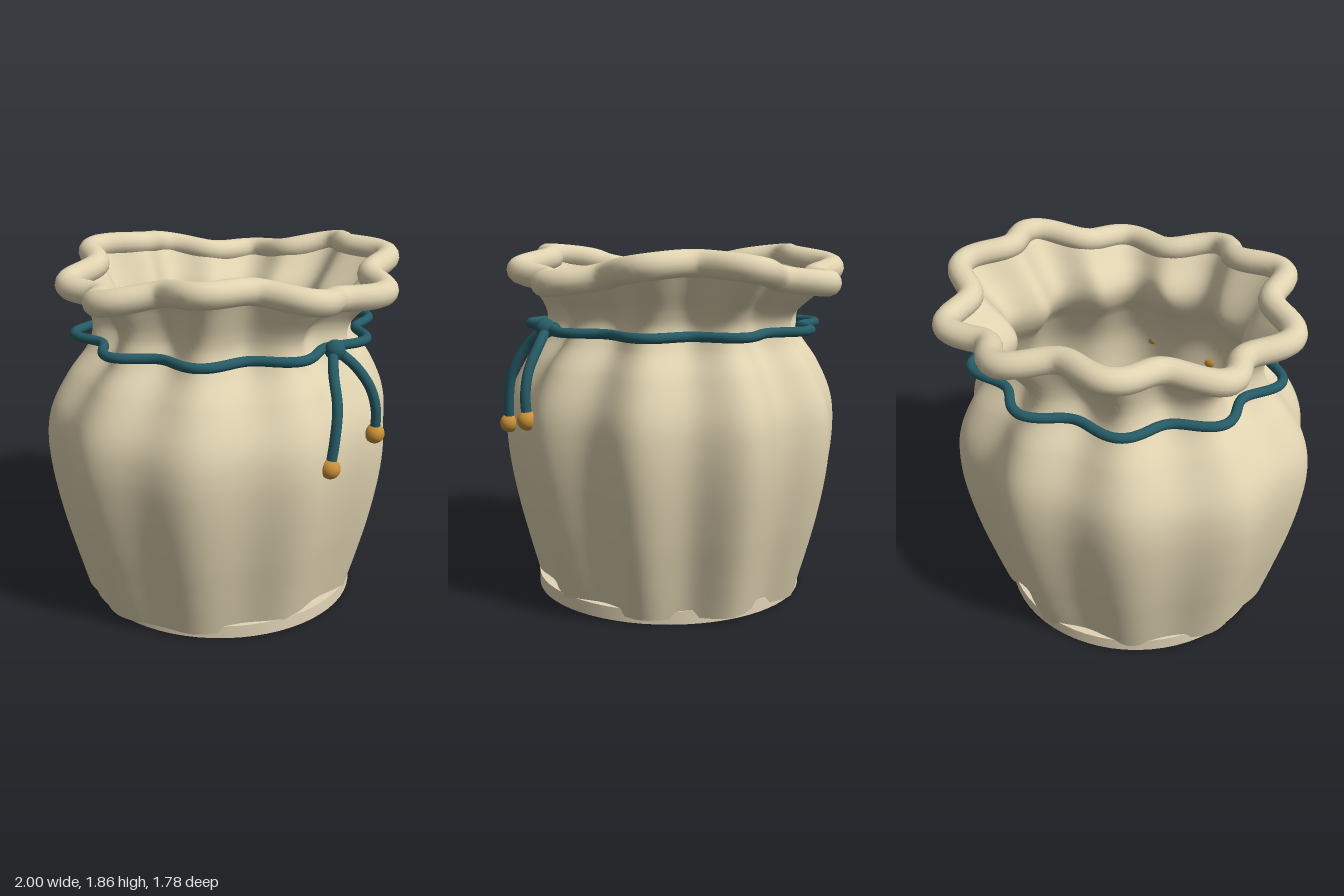
import * as THREE from 'three';
import { ParametricGeometry } from 'three/addons/geometries/ParametricGeometry.js';

const LOBES = 10;
const CENTRE_Z = -0.03;
const SQUASH = 0.927;
const WALL = 0.03;

const mat = (name, color, side = THREE.FrontSide) => {
  const m = new THREE.MeshStandardMaterial({ color, side });
  m.name = name;
  return m;
};

// Body profile rows: height, radius at the pleat crests, pleat depth, x drift,
// share of the mouth's wave, softening of the pleats towards the right side
const PROFILE = [
  [0.03, 0.78, 0.032, -0.045, 0, 0.25],
  [0.25, 0.845, 0.04, -0.04, 0, 0.25],
  [0.48, 0.906, 0.044, -0.037, 0, 0.25],
  [0.72, 0.952, 0.046, -0.035, 0, 0.25],
  [0.92, 0.965, 0.046, -0.035, 0, 0.25],
  [1.08, 0.938, 0.046, -0.03, 0, 0.25],
  [1.25, 0.85, 0.047, -0.02, 0, 0.18],
  [1.38, 0.752, 0.05, -0.015, 0, 0.08],
  [1.47, 0.72, 0.052, -0.01, 0, 0],
  [1.55, 0.74, 0.055, 0.005, 0.15, 0],
  [1.65, 0.815, 0.06, 0.028, 0.6, 0],
  [1.745, 0.895, 0.065, 0.04, 1, 0],
];

// The mouth rises and dips three times around
const mouthWave = a => 0.055 * Math.cos(3 * (a - 0.35));
// and is drawn in a little at its two right-hand diagonals
const mouthTuck = a => 0.01 * Math.sin(2 * a) ** 2 * (1 - Math.cos(a));

// Pleated ring point, slightly squashed front to back
function pleat(a, [y, crest, depth, cx, mouth, soft], target = new THREE.Vector3()) {
  const d = depth * (1 - soft * (1 - Math.cos(a)));
  const r = crest - d * (1 - Math.cos(LOBES * a)) - mouth * mouthTuck(a);
  return target.set(cx + r * Math.cos(a), y + mouth * mouthWave(a), CENTRE_Z + r * Math.sin(a) * SQUASH);
}

// Smooth interpolation between the profile rows
function profileAt(v) {
  const n = PROFILE.length - 1;
  const k = Math.min(Math.floor(v * n), n - 1), t = v * n - k;
  const row = j => PROFILE[Math.max(0, Math.min(n, j))];
  const t2 = t * t, t3 = t2 * t;
  return row(k).map((p, i) => {
    const q = row(k + 1)[i];
    const m0 = (q - row(k - 1)[i]) / 2, m1 = (row(k + 2)[i] - p) / 2;
    return (2 * t3 - 3 * t2 + 1) * p + (t3 - 2 * t2 + t) * m0 + (3 * t2 - 2 * t3) * q + (t3 - t2) * m1;
  });
}

// Cloth wall, set inwards by a given amount
const wall = inset => new ParametricGeometry((u, v, target) => {
  const row = profileAt(v);
  row[1] -= inset;
  pleat(-u * Math.PI * 2, row, target);
}, 200, 55);

const ring = row => Array.from({ length: 120 }, (_, i) => pleat(i / 120 * Math.PI * 2, row));

// Closed tube following a pleated ring
const ringTube = (row, radius) =>
  new THREE.TubeGeometry(new THREE.CatmullRomCurve3(ring(row), true), 240, radius, 14, true);

export function createModel() {
  const group = new THREE.Group();
  const cloth = mat('linen cloth', 0xe0d3b1, THREE.DoubleSide);
  const lining = mat('base lining', 0xe3d4b7, THREE.DoubleSide);
  const teal = mat('teal cord', 0x265b66);
  const gold = mat('gold beads', 0xc89037);

  const add = (name, geometry, material, x = 0, y = 0, z = 0) => {
    const mesh = new THREE.Mesh(geometry, material);
    mesh.name = name;
    mesh.position.set(x, y, z);
    group.add(mesh);
  };

  // Pleated pouch body, open at the top, with its inner face
  add('pouchBody', wall(0), cloth);
  add('pouchInside', wall(WALL), cloth);

  // Rolled hem around the mouth
  add('rolledRim', ringTube(PROFILE[PROFILE.length - 1], 0.065), cloth);

  // Round base, with a floor closing the pleats around it
  add('base', new THREE.CylinderGeometry(0.732, 0.732, 0.07, 64), lining, -0.05, 0.035, -0.025);
  const floor = new THREE.Shape(ring(PROFILE[0]).map(p => new THREE.Vector2(p.x, -p.z)));
  add('floor', new THREE.ShapeGeometry(floor).rotateX(-Math.PI / 2), lining, 0, 0.032, 0);

  // Drawstring around the neck, with its knot
  add('drawstring', ringTube([1.453, 0.824, 0.052, 0, 0, 0], 0.025), teal);
  add('knot', new THREE.SphereGeometry(0.052, 24, 16), teal, 0.01, 1.45, 0.69);

  // Hanging cord ends with beads
  const tails = [
    ['right', [[0, 1.45, 0.685], [-0.085, 1.36, 0.757], [-0.14, 1.22, 0.828], [-0.175, 1.07, 0.845], [-0.197, 0.928, 0.84]]],
    ['left', [[0.02, 1.45, 0.685], [0.095, 1.36, 0.757], [0.14, 1.25, 0.82], [0.162, 1.13, 0.845], [0.167, 1.008, 0.84]]],
  ];
  for (const [side, pts] of tails) {
    const curve = new THREE.CatmullRomCurve3(pts.map(p => new THREE.Vector3(...p)));
    add(side + 'CordEnd', new THREE.TubeGeometry(curve, 32, 0.026, 12), teal);
    add(side + 'Bead', new THREE.SphereGeometry(0.051, 24, 16), gold, ...pts[pts.length - 1]);
  }

  return group;
}
